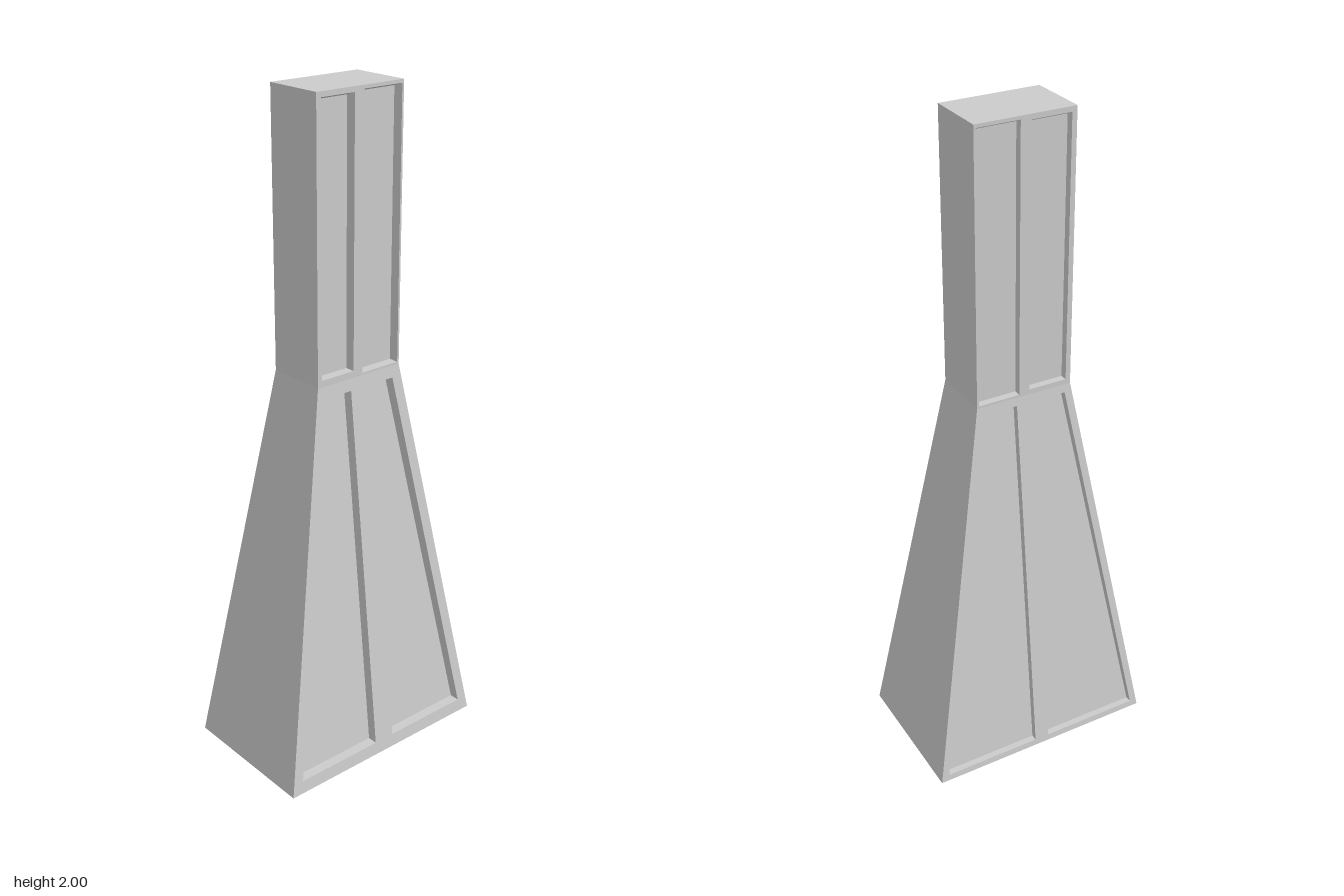
import * as THREE from 'three';
import { mergeGeometries } from 'three/addons/utils/BufferGeometryUtils.js';

const material = new THREE.MeshStandardMaterial({ color: 0xcccccc, flatShading: true, side: THREE.DoubleSide });

// Half width, half depth and height at each level of the tower
const BASE = { x: 0.225, z: 0.358, y: 0 };
const NECK = { x: 0.094, z: 0.149, y: 1.2 };
const TOP = { x: 0.094, z: 0.149, y: 2 };

const halfWidth = (y) => y >= NECK.y ? NECK.x : BASE.x + (NECK.x - BASE.x) * y / NECK.y;

function quad(a, b, c, d) {
  const g = new THREE.BufferGeometry();
  g.setAttribute('position', new THREE.Float32BufferAttribute([a, b, c, a, c, d].flat(), 3));
  g.computeVertexNormals();
  return g;
}

function part(name, geometries) {
  const mesh = new THREE.Mesh(mergeGeometries(geometries), material);
  mesh.name = name;
  return mesh;
}

// Flat polygon (u, y) with holes, laid onto the side wall on side s
function sheet(outline, holes, s, depth) {
  const shape = new THREE.Shape(outline.map(([u, y]) => new THREE.Vector2(u, y)));
  for (const h of holes) shape.holes.push(new THREE.Path(h.map(([u, y]) => new THREE.Vector2(u, y))));
  const g = new THREE.ShapeGeometry(shape).toNonIndexed();
  g.deleteAttribute('uv');
  const p = g.attributes.position;
  for (let i = 0; i < p.count; i++) p.setXYZ(i, ...onWall([p.getX(i), p.getY(i)], s, depth));
  g.computeVertexNormals();
  return g;
}

const onWall = ([u, y], s, depth) => [s * (halfWidth(y) - depth), y, -s * u];

// Four walls around a pocket plus its sunken floor
function pocket(corners, s, depth) {
  const yTop = Math.max(...corners.map((c) => c[1]));
  const inner = corners.map(([u, y]) => [u, y === yTop ? y - 0.01 : y]);
  const pieces = [sheet(inner, [], s, depth)];
  corners.forEach((c, i) => {
    const j = (i + 1) % 4;
    pieces.push(quad(onWall(c, s, 0), onWall(corners[j], s, 0), onWall(inner[j], s, depth), onWall(inner[i], s, depth)));
  });
  return pieces;
}

// Pocket corners, counter-clockwise seen from outside; z0/z1 at the bottom, t0/t1 at the top
function corners(s, [z0, z1, t0, t1, y0, y1]) {
  const [a, b] = [-s * z0, -s * z1], [c, d] = [-s * t0, -s * t1];
  return [[Math.min(a, b), y0], [Math.max(a, b), y0], [Math.max(c, d), y1], [Math.min(c, d), y1]];
}

// One panelled side wall section with two pockets
function panelSection(name, s, lo, hi, depth, pockets) {
  const holes = pockets.map((p) => corners(s, p));
  const outline = [[-lo.z, lo.y], [lo.z, lo.y], [hi.z, hi.y], [-hi.z, hi.y]];
  return part(name, [sheet(outline, holes, s, 0), ...holes.flatMap((h) => pocket(h, s, depth))]);
}

// Plain front or back wall section
function plainWall(f, lo, hi) {
  return quad([-f * lo.x, lo.y, f * lo.z], [f * lo.x, lo.y, f * lo.z], [f * hi.x, hi.y, f * hi.z], [-f * hi.x, hi.y, f * hi.z]);
}

export function createModel() {
  const group = new THREE.Group();
  group.name = 'taperedTower';

  for (const [name, f] of [['front', 1], ['back', -1]]) {
    group.add(part(name + 'Wall', [plainWall(f, BASE, NECK), plainWall(f, NECK, TOP)]));
  }

  // Panelled sides; the pockets on the left are a little deeper
  group.add(panelSection('leftLowerPanels', 1, BASE, NECK, 0.031, [
    [0.318, 0.033, 0.12, 0.033, 0.04, 1.165],
    [-0.318, -0.035, -0.122, -0.035, 0.04, 1.165],
  ]));
  group.add(panelSection('leftUpperPanels', 1, NECK, TOP, 0.031, [
    [0.134, 0.021, 0.134, 0.021, 1.22, 1.985],
    [-0.143, -0.011, -0.143, -0.011, 1.207, 1.99],
  ]));
  group.add(panelSection('rightLowerPanels', -1, BASE, NECK, 0.02, [
    [0.332, 0.021, 0.13, 0.021, 0.02, 1.175],
    [-0.332, -0.025, -0.13, -0.025, 0.02, 1.175],
  ]));
  group.add(panelSection('rightUpperPanels', -1, NECK, TOP, 0.022, [
    [0.134, 0.016, 0.134, 0.016, 1.215, 1.985],
    [-0.143, -0.016, -0.143, -0.016, 1.207, 1.99],
  ]));

  // Roof; the base stays open
  const { x, y, z } = TOP;
  group.add(part('roof', [quad([-x, y, z], [x, y, z], [x, y, -z], [-x, y, -z])]));

  return group;
}
